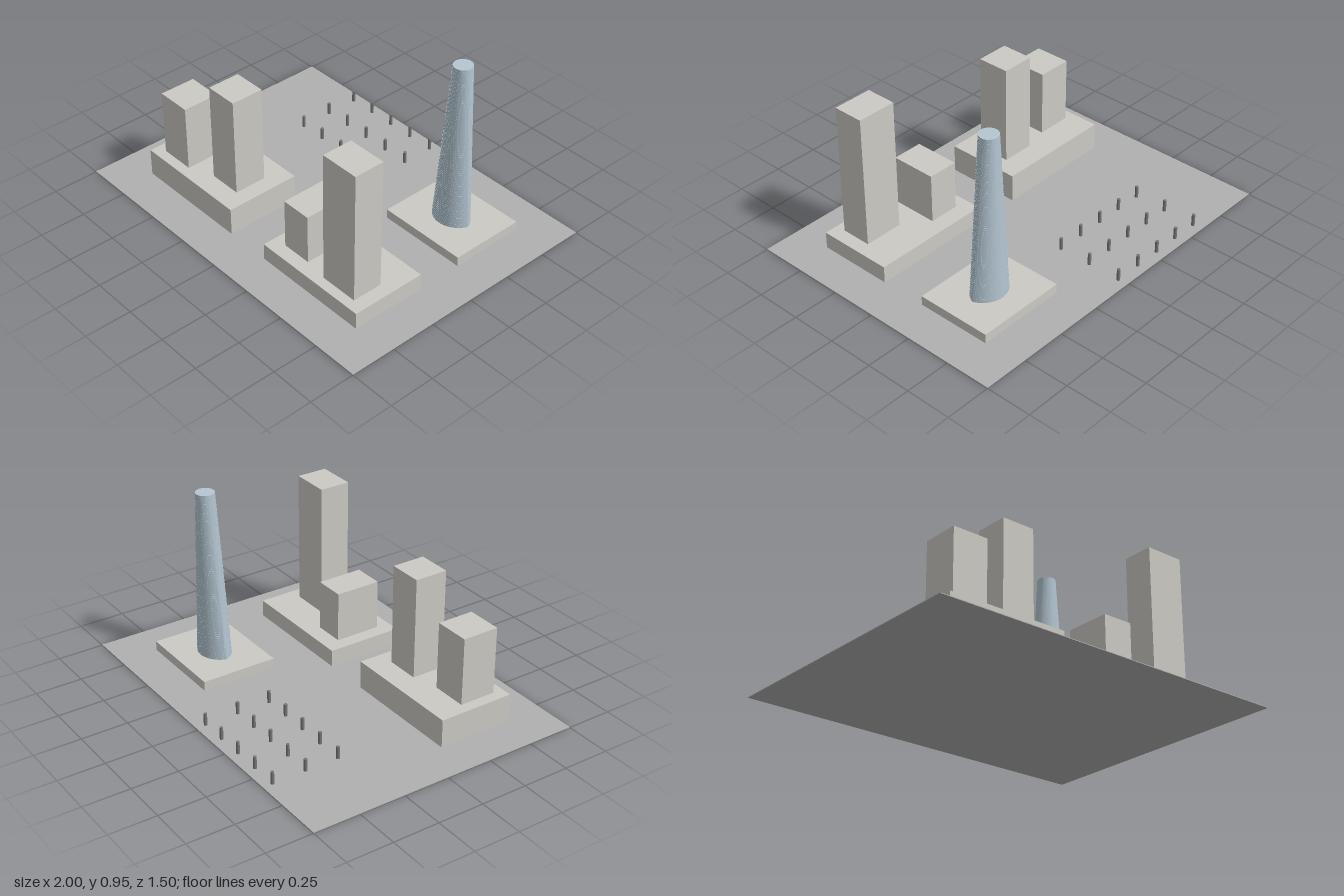
import * as THREE from 'three';
import { toCreasedNormals } from 'three/addons/utils/BufferGeometryUtils.js';

const stone = new THREE.MeshStandardMaterial({ color: 0xcccac4 });
const paving = new THREE.MeshStandardMaterial({ color: 0xb0b0b0 });
const glass = new THREE.MeshStandardMaterial({ color: 0xb4c6d2 });
const metal = new THREE.MeshStandardMaterial({ color: 0x777777 });

// Box given by its extents on each axis
function block(name, [x0, x1], [y0, y1], [z0, z1], material = stone) {
  const mesh = new THREE.Mesh(new THREE.BoxGeometry(x1 - x0, y1 - y0, z1 - z0), material);
  mesh.position.set((x0 + x1) / 2, (y0 + y1) / 2, (z0 + z1) / 2);
  mesh.name = name;
  return mesh;
}

// Floor plan of the tall tower: a pointed lens (t = 0) blending into a circle (t = 1)
function floorPlan(t, sides = 48) {
  const halfWidth = 0.118, halfDepth = 0.084, topRadius = 0.05;
  const arcRadius = (halfWidth ** 2 + halfDepth ** 2) / (2 * halfDepth);
  const points = [];
  for (let i = 0; i < sides; i++) {
    const a = (i / sides) * Math.PI * 2;
    const x = halfWidth * Math.cos(a);
    const bulge = Math.sqrt(Math.max(0, arcRadius ** 2 - x * x)) - (arcRadius - halfDepth);
    const z = Math.sign(Math.sin(a)) * Math.max(0, bulge);
    points.push(new THREE.Vector2(
      THREE.MathUtils.lerp(x, topRadius * Math.cos(a), t),
      THREE.MathUtils.lerp(z, topRadius * Math.sin(a), t)));
  }
  return new THREE.Shape(points);
}

// Tall tower: thin storeys stacked, each a little narrower and shifted
function createTower() {
  const tower = new THREE.Group();
  tower.name = 'taperedTower';
  const floors = 80, bottom = 0.055, top = 0.955;
  const height = (top - bottom) / floors;
  for (let i = 0; i < floors; i++) {
    const t = i / (floors - 1);
    const geometry = new THREE.ExtrudeGeometry(floorPlan(t), { depth: height, bevelEnabled: false });
    geometry.rotateX(-Math.PI / 2);
    const storey = new THREE.Mesh(toCreasedNormals(geometry, 0.6), glass);
    storey.position.set(0.538 + 0.009 * t, bottom + i * height, -0.332 - 0.015 * t);
    storey.name = 'storey';
    tower.add(storey);
  }
  return tower;
}

export function createModel() {
  const model = new THREE.Group();
  model.name = 'cityBlock';

  model.add(block('ground', [-1, 1], [0, 0.004], [-0.75, 0.75], paving));

  // Podiums
  model.add(
    block('rightPodium', [-0.79, -0.127], [0.004, 0.155], [0.126, 0.54]),
    block('leftPodium', [0.126, 0.79], [0.004, 0.095], [0.126, 0.54]),
    block('towerPodium', [0.29, 0.788], [0.004, 0.055], [-0.54, -0.126]));

  // Plain buildings standing on the front podiums
  model.add(
    block('building', [-0.731, -0.538], [0.155, 0.515], [0.286, 0.484]),
    block('building', [-0.4, -0.217], [0.155, 0.695], [0.251, 0.43]),
    block('building', [0.2, 0.367], [0.095, 0.365], [0.216, 0.466]),
    block('building', [0.5, 0.715], [0.095, 0.815], [0.317, 0.485]));

  model.add(createTower());

  // Grid of posts in the open plaza
  const postGeometry = new THREE.CylinderGeometry(0.009, 0.009, 0.066, 12);
  for (let row = 0; row < 3; row++) {
    for (let col = 0; col < 5; col++) {
      const post = new THREE.Mesh(postGeometry, metal);
      post.position.set(-0.585 + col * 0.15, 0.037, -0.697 + row * 0.183);
      post.name = 'post';
      model.add(post);
    }
  }
  return model;
}
